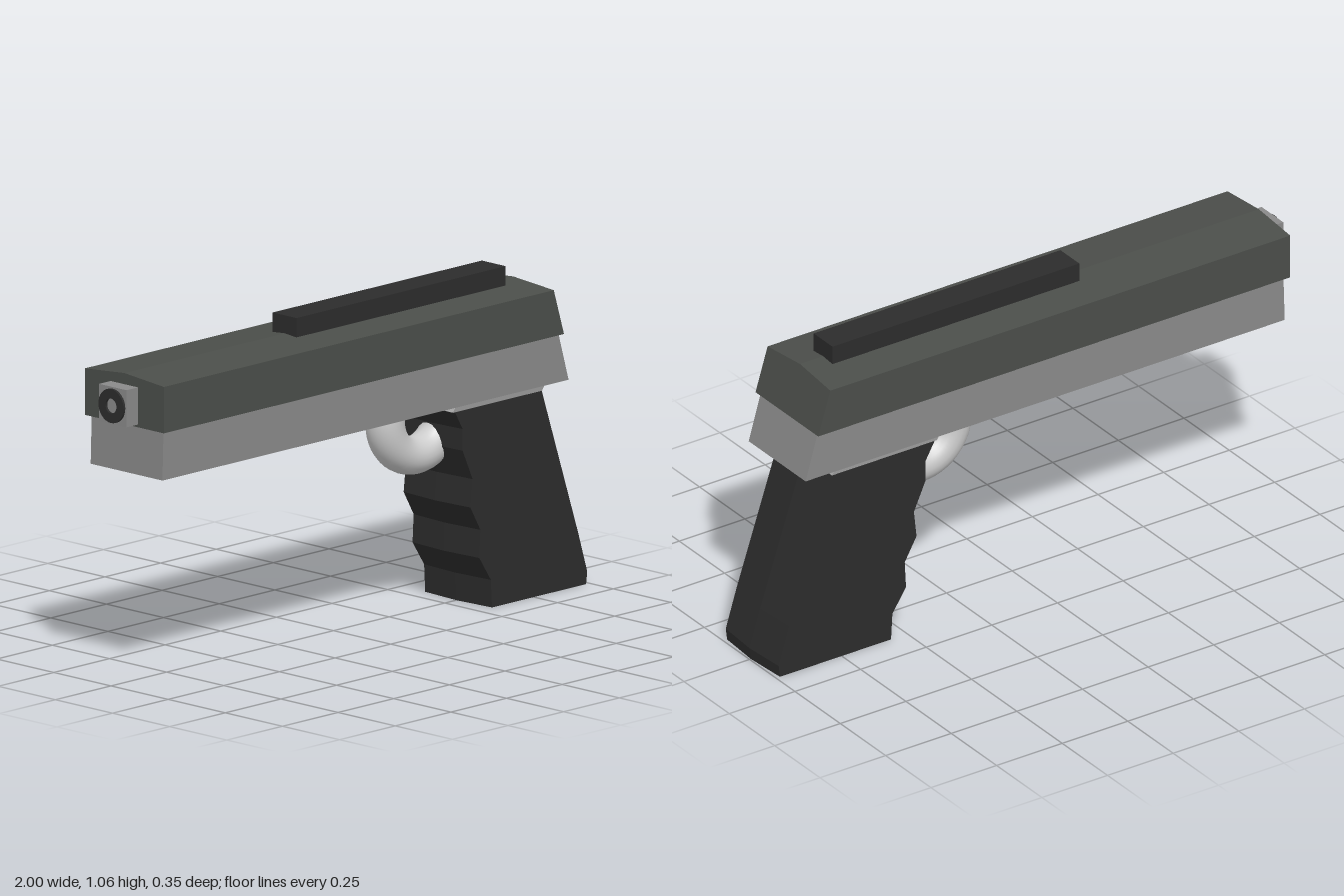
import * as THREE from 'three';

const material = (color, flatShading = true) => new THREE.MeshStandardMaterial({ color, flatShading });

const slideColor = material(0x4b4e4a);
const frameColor = material(0x8a8a8a);
const darkColor = material(0x2c2c2c);
const greyColor = material(0xcccccc);

function addPart(group, name, geometry, mat, x = 0, y = 0, z = 0) {
  const mesh = new THREE.Mesh(geometry, mat);
  mesh.name = name;
  mesh.position.set(x, y, z);
  group.add(mesh);
  return mesh;
}

// Side profile extruded across z; shiftMid moves the middle row to form a ridge.
function ridgedExtrude(points, halfWidth, shiftMid) {
  const shape = new THREE.Shape(points.map(([x, y]) => new THREE.Vector2(x, y)));
  const geometry = new THREE.ExtrudeGeometry(shape, { depth: 2 * halfWidth, steps: 2, bevelEnabled: false });
  geometry.translate(0, 0, -halfWidth);
  if (shiftMid) {
    const p = geometry.attributes.position;
    const v = new THREE.Vector3();
    for (let i = 0; i < p.count; i++) {
      v.fromBufferAttribute(p, i);
      if (Math.abs(v.z) < 1e-4) {
        shiftMid(v);
        p.setXYZ(i, v.x, v.y, v.z);
      }
    }
    geometry.computeVertexNormals();
  }
  return geometry;
}

export function createModel() {
  const model = new THREE.Group();
  model.name = 'pistol';

  // Slide with a shallow roof ridge
  addPart(model, 'slide', ridgedExtrude(
    [[-0.94, 0.835], [0.858, 0.835], [0.812, 0.985], [-0.94, 0.985]], 0.173,
    (v) => { if (v.y > 0.95) { v.y += 0.015; if (v.x > 0) v.x -= 0.004; } }), slideColor);

  // Frame under the slide
  addPart(model, 'frame', ridgedExtrude(
    [[-0.93, 0.678], [0.895, 0.678], [0.848, 0.84], [-0.925, 0.84]], 0.157), frameColor);

  // Sight rail
  addPart(model, 'sightRail', new THREE.BoxGeometry(0.94, 0.08, 0.104), darkColor, 0.25, 1.018, 0);

  // Barrel block with a dark muzzle ring and a lighter bore
  addPart(model, 'barrel', new THREE.BoxGeometry(0.09, 0.12, 0.12), frameColor, -0.947, 0.904, 0);
  const ring = new THREE.Shape().absarc(0, 0, 0.055, 0, Math.PI * 2);
  ring.holes.push(new THREE.Path().absarc(0, 0, 0.024, 0, Math.PI * 2, true));
  const ringGeometry = new THREE.ExtrudeGeometry(ring, { depth: 0.012, bevelEnabled: false, curveSegments: 16 });
  ringGeometry.rotateY(-Math.PI / 2);
  addPart(model, 'muzzleRing', ringGeometry, darkColor, -0.988, 0.904, 0);

  // Grip with finger grooves, ridged along its front and back
  addPart(model, 'grip', ridgedExtrude([
    [0.985, 0], [0.99, 0.04], [0.95, 0.17], [0.785, 0.662], [0.395, 0.662],
    [0.43, 0.6], [0.43, 0.53], [0.475, 0.43], [0.465, 0.34],
    [0.51, 0.26], [0.505, 0.17], [0.557, 0.09], [0.562, 0],
  ], 0.146, (v) => { v.x += v.x > 0.78 - 0.27 * v.y ? 0.01 : -0.01; }), darkColor);

  // Flared collar joining grip and frame
  const collar = new THREE.BoxGeometry(0.4, 0.02, 0.292);
  const p = collar.attributes.position;
  for (let i = 0; i < p.count; i++) {
    if (p.getY(i) > 0) p.setZ(i, Math.sign(p.getZ(i)) * 0.157);
  }
  collar.computeVertexNormals();
  addPart(model, 'gripCollar', collar, greyColor, 0.587, 0.67, 0);

  // Trigger guard ring
  addPart(model, 'triggerGuard', new THREE.TorusGeometry(0.13, 0.063, 20, 48),
    material(0xcccccc, false), 0.362, 0.632 - 0.002, 0).scale.y = 0.97;

  return model;
}
